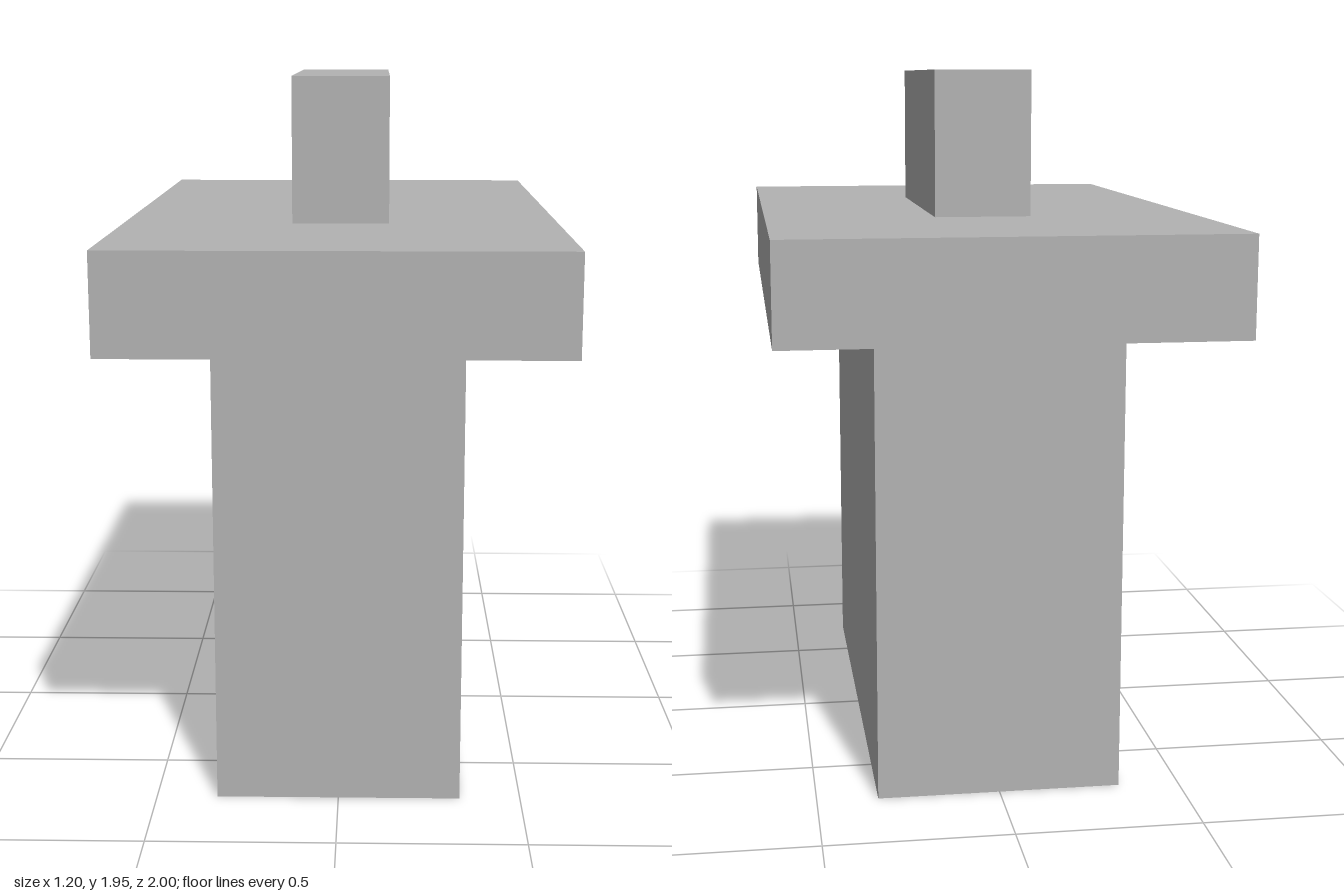
import * as THREE from 'three';

export function createModel() {
  const group = new THREE.Group();
  const grey = new THREE.MeshStandardMaterial({ color: 0xb2b2b2 });
  grey.name = 'grey';

  // Adds a centred block spanning the heights bottom to top
  const addBlock = (name, width, depth, bottom, top) => {
    const mesh = new THREE.Mesh(new THREE.BoxGeometry(width, top - bottom, depth), grey);
    mesh.name = name;
    mesh.position.y = (bottom + top) / 2;
    group.add(mesh);
  };

  addBlock('base', 0.667, 1.467, 0, 1.28);      // tall lower block
  addBlock('plate', 1.2, 2, 1.28, 1.547);       // wide overhanging slab
  addBlock('stem', 0.267, 0.8, 1.547, 1.947);   // narrow upper block

  return group;
}
